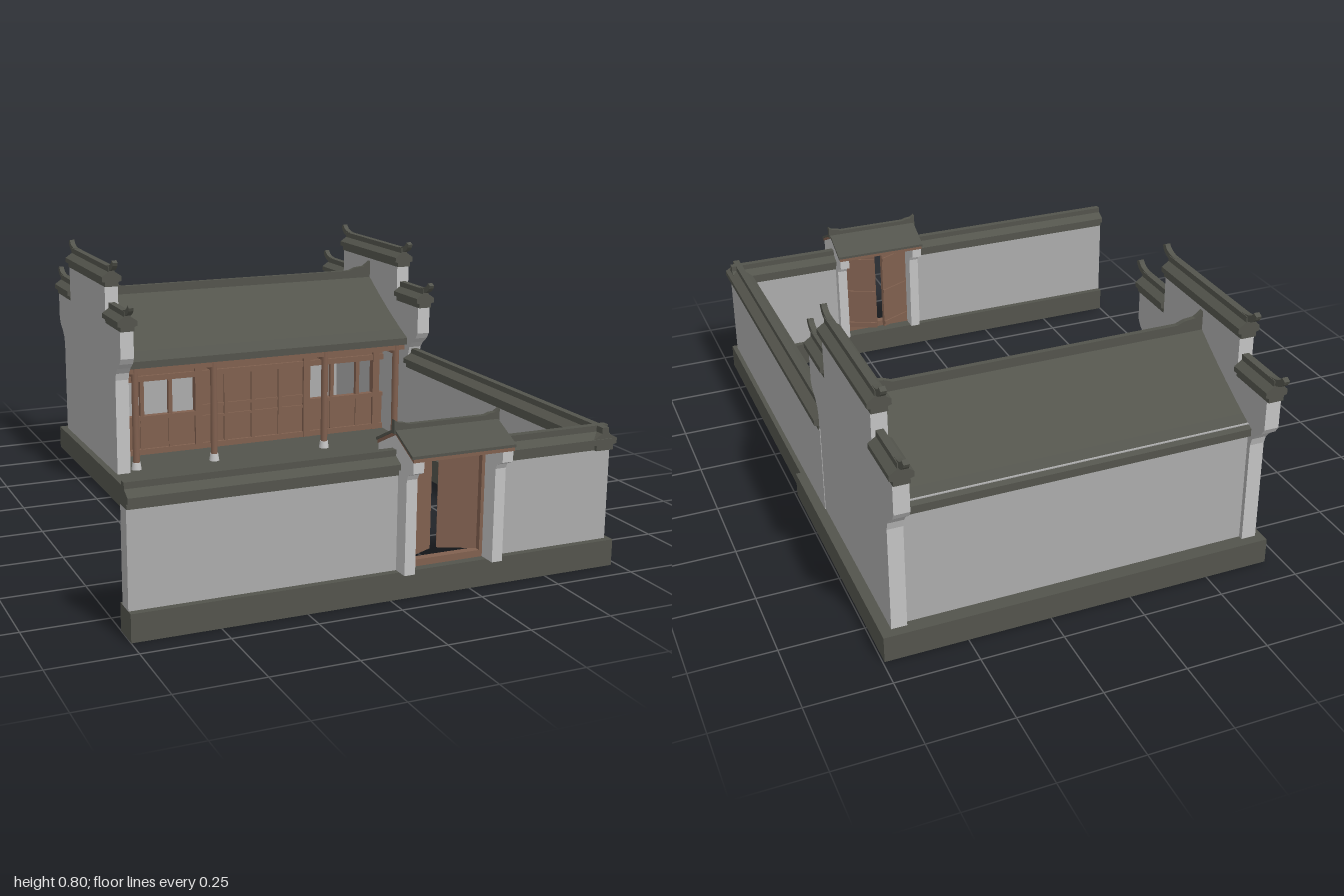
import * as THREE from 'three';

const mat = (name, color) => Object.assign(new THREE.MeshStandardMaterial({ color }), { name });

export function createModel() {
  const root = new THREE.Group();
  root.name = 'courtyardHouse';
  const tile = mat('darkTile', 0x53544c);
  const plaster = mat('greyPlaster', 0xacacac);
  const trim = mat('paleTrim', 0xc4c4c4);
  const wood = mat('brownWood', 0x80604f);
  const MID = 0.1425, GABLES = [-0.405, 0.69];

  const add = (name, geo, m, parent = root) => {
    const mesh = new THREE.Mesh(geo, m);
    mesh.name = name;
    parent.add(mesh);
    return mesh;
  };
  // Box given by its limits on each axis
  const box = (name, x0, x1, y0, y1, z0, z1, m, parent) => {
    const g = new THREE.BoxGeometry(x1 - x0, y1 - y0, z1 - z0);
    g.translate((x0 + x1) / 2, (y0 + y1) / 2, (z0 + z1) / 2);
    return add(name, g, m, parent);
  };
  // Extrusion of an (x, y) outline, centred on z = 0
  const prism = (pts, depth) => {
    const shape = new THREE.Shape(pts.map(p => new THREE.Vector2(p[0], p[1])));
    const g = new THREE.ExtrudeGeometry(shape, { depth, bevelEnabled: false });
    return g.translate(0, 0, -depth / 2);
  };
  // Extrusion of a (z, y) outline, centred on the given x
  const sidePrism = (pts, width, x) => prism(pts, width).rotateY(-Math.PI / 2).translate(x, 0, 0);

  // Tiled wall coping, running along z or x
  const capOutline = hw => [[-hw * 0.7, 0], [hw * 0.7, 0], [hw * 0.7, 0.015], [hw, 0.018], [hw, 0.034],
    [0.011, 0.05], [0.011, 0.068], [-0.011, 0.068], [-0.011, 0.05], [-hw, 0.034], [-hw, 0.018], [-hw * 0.7, 0.015]];
  const capZ = (name, x, y, z0, z1, hw) =>
    add(name, prism(capOutline(hw), z1 - z0).translate(x, y, (z0 + z1) / 2), tile);
  const capX = (name, x0, x1, y, z, hw) =>
    add(name, prism(capOutline(hw), x1 - x0).rotateY(Math.PI / 2).translate((x0 + x1) / 2, y, z), tile);

  // Upturned coping tip
  const horn = (x, y, z, dir) => {
    const low = new THREE.QuadraticBezierCurve(new THREE.Vector2(-0.03, 0), new THREE.Vector2(0.035, 0), new THREE.Vector2(0.045, 0.035));
    const high = new THREE.QuadraticBezierCurve(new THREE.Vector2(0.03, 0.042), new THREE.Vector2(0.02, 0.02), new THREE.Vector2(-0.03, 0.018));
    const pts = [...low.getPoints(6), ...high.getPoints(6)].map(p => [z + dir * p.x, y + p.y]);
    add('copingTip', sidePrism(pts, 0.017, x), tile);
  };

  // Roof ridge with raised ends
  const ridge = (name, x0, x1, y, top, up, run, z) => {
    const end = [[0, top + up], [run * 0.3, top + up * 0.4], [run * 0.7, top + up * 0.3], [run, top]];
    const pts = [[x0, y], [x1, y], ...end.map(p => [x1 - p[0], p[1]]), ...end.reverse().map(p => [x0 + p[0], p[1]])];
    add(name, prism(pts, 0.016).translate(0, 0, z), tile);
  };

  // Hollow house platform
  box('platformFloor', -0.45, 0.745, 0.07, 0.08, -0.91, -0.02, tile);
  box('platformFront', -0.45, 0.745, 0, 0.07, -0.026, -0.02, tile);
  box('platformBack', -0.45, 0.745, 0, 0.07, -0.91, -0.904, tile);
  box('platformLeft', 0.739, 0.745, 0, 0.07, -0.904, -0.026, tile);
  box('platformRight', -0.45, -0.444, 0, 0.07, -0.904, -0.026, tile);

  // Courtyard wall footings
  box('frontFooting', -0.75, 0.64, 0, 0.08, 0.84, 0.93, tile);
  box('sideFooting', 0.64, 0.73, 0, 0.08, -0.02, 0.93, tile);

  // Steps with sloping cheeks
  for (let i = 0; i < 4; i++) {
    box('step', 0.04, 0.265, 0, 0.064 - i * 0.016, -0.02 + i * 0.031, 0.011 + i * 0.031, tile);
  }
  for (const x of [0.019, 0.283]) {
    add('stepCheek', sidePrism([[-0.02, 0], [0.12, 0], [0.12, 0.012], [-0.005, 0.08], [-0.02, 0.08]], 0.036, x), tile);
  }

  // Courtyard walls and coping
  box('frontWallRight', -0.75, 0.03, 0.08, 0.362, 0.86, 0.91, plaster);
  box('frontWallLeft', 0.33, 0.715, 0.08, 0.362, 0.86, 0.91, plaster);
  box('sideWall', 0.665, 0.715, 0.08, 0.362, -0.25, 0.91, plaster);
  capX('frontCopingRight', -0.75, 0.03, 0.356, 0.885, 0.041);
  capX('frontCopingLeft', 0.33, 0.715, 0.356, 0.885, 0.041);
  capZ('sideCoping', 0.688, 0.356, -0.24, 0.925, 0.04);

  // Stepped gable walls, symmetric about the ridge
  const half = [[0.32, 0.08], [0.32, 0.405], [0.328, 0.43], [0.345, 0.45], [0.372, 0.47], [0.385, 0.49],
    [0.385, 0.595], [0.222, 0.595], [0.222, 0.712]];
  const gable = [...half.map(p => [-0.56 + p[0], p[1]]), ...half.slice().reverse().map(p => [-0.56 - p[0], p[1]])];
  for (const x of GABLES) {
    add('gableWall', sidePrism(gable, 0.046, x), [plaster, trim]);
    capZ('upperGableCoping', x, 0.705, -0.79, -0.33, 0.034);
    capZ('frontGableCoping', x, 0.583, -0.338, -0.165, 0.034);
    capZ('backGableCoping', x, 0.583, -0.955, -0.782, 0.034);
    horn(x, 0.756, -0.33, 1);
    horn(x, 0.756, -0.79, -1);
    horn(x, 0.634, -0.165, 1);
    horn(x, 0.634, -0.955, -1);
  }

  // House back wall
  box('backWall', -0.385, 0.67, 0.08, 0.47, -0.865, -0.835, plaster);

  // Gently sagging main roof
  const slope = t => [0.315 * t, 0.64 - 0.18 * t - 0.035 * t * (1 - t)];
  const roofTop = [];
  for (let i = -6; i <= 6; i++) {
    const [d, y] = slope(Math.abs(i) / 6);
    roofTop.push([-0.565 + Math.sign(i) * d, y]);
  }
  const roof = [...roofTop, ...roofTop.slice().reverse().map(p => [p[0], p[1] - 0.024])];
  add('mainRoof', sidePrism(roof, 1.05, MID), tile);
  ridge('mainRidge', -0.383, 0.668, 0.62, 0.663, 0.033, 0.085, -0.565);

  // Porch columns on stone bases, with beams
  const columnXs = [-0.35, 0.143 - 0.21, 0.143 + 0.21, 0.635];
  for (const x of columnXs) {
    add('porchColumn', new THREE.CylinderGeometry(0.012, 0.012, 0.35, 12).translate(x, 0.275, -0.275), wood);
    add('columnBase', new THREE.CylinderGeometry(0.014, 0.018, 0.025, 12).translate(x, 0.0925, -0.275), trim);
    box('crossBeam', x - 0.008, x + 0.008, 0.4, 0.43, -0.44, -0.275, wood);
  }
  box('porchBeam', -0.38, 0.665, 0.415, 0.446, -0.284, -0.266, wood);

  // Timber front: windows in the side bays, doors in the middle
  const ZF = -0.44;
  box('upperBoarding', -0.38, 0.665, 0.35, 0.54, ZF - 0.008, ZF + 0.002, wood);
  box('headRail', -0.38, 0.665, 0.345, 0.365, ZF - 0.012, ZF + 0.012, wood);
  box('sillRail', -0.38, 0.665, 0.08, 0.1, ZF - 0.012, ZF + 0.012, wood);
  for (const x of columnXs) box('wallPost', x - 0.013, x + 0.013, 0.08, 0.5, ZF - 0.014, ZF + 0.014, wood);
  for (const [x0, x1] of [[-0.38, -0.067], [0.353, 0.665]]) {
    box('windowApron', x0, x1, 0.09, 0.21, ZF - 0.006, ZF + 0.003, wood);
    box('windowSill', x0, x1, 0.205, 0.22, ZF - 0.012, ZF + 0.012, wood);
    for (let i = 1; i < 3; i++) {
      const x = x0 + (x1 - x0) * i / 3;
      box('windowPost', x - 0.007, x + 0.007, 0.09, 0.35, ZF - 0.008, ZF + 0.008, wood);
    }
  }
  box('doorPanels', -0.067, 0.353, 0.09, 0.35, ZF - 0.006, ZF + 0.002, wood);
  for (let i = 0; i <= 4; i++) {
    const x = -0.067 + 0.105 * i;
    box('doorStile', x - 0.007, x + 0.007, 0.09, 0.35, ZF, ZF + 0.01, wood);
  }
  for (const y of [0.19, 0.23]) box('doorRail', -0.067, 0.353, y, y + 0.01, ZF, ZF + 0.009, wood);

  // Gate piers with flared tops
  const pier = [[0.83, 0.08], [0.96, 0.08], [0.96, 0.355], [0.968, 0.37], [0.995, 0.382], [0.995, 0.418],
    [0.893, 0.465], [0.79, 0.418], [0.79, 0.382], [0.822, 0.37], [0.83, 0.355]];
  for (const x of [0.0415, 0.3185]) add('gatePier', sidePrism(pier, 0.033, x), trim);

  // Gate roof: boards below, tiles above
  const layer = (y, t) => [[1.0, y], [0.893, y + 0.052], [0.786, y], [0.786, y - t], [0.893, y + 0.052 - t], [1.0, y - t]];
  add('gateRoofBoards', sidePrism(layer(0.424, 0.01), 0.314, 0.18), wood);
  add('gateRoofTiles', sidePrism(layer(0.432, 0.008), 0.322, 0.18), tile);
  ridge('gateRidge', 0.015, 0.345, 0.47, 0.494, 0.016, 0.045, 0.893);

  // Gate frame
  box('gateLintel', 0.055, 0.305, 0.39, 0.43, 0.875, 0.915, wood);
  box('gateThreshold', 0.055, 0.305, 0.08, 0.1, 0.88, 0.905, wood);
  for (const x of [0.058, 0.292]) box('gateJamb', x, x + 0.01, 0.08, 0.4, 0.88, 0.905, wood);

  // Door leaves, ajar inward
  for (const side of [-1, 1]) {
    const leaf = new THREE.Group();
    leaf.name = side < 0 ? 'gateDoorRight' : 'gateDoorLeft';
    leaf.position.set(0.18 + side * 0.117, 0, 0.885);
    leaf.rotation.y = -side * 0.45;
    const a = side < 0 ? 0 : -0.116, b = side < 0 ? 0.116 : 0;
    box('doorBoard', a, b, 0.1, 0.392, -0.005, 0.005, wood, leaf);
    for (const y of [0.11, 0.24, 0.37]) box('doorBatten', a, b, y, y + 0.012, -0.01, -0.005, wood, leaf);
    root.add(leaf);
  }
  return root;
}
